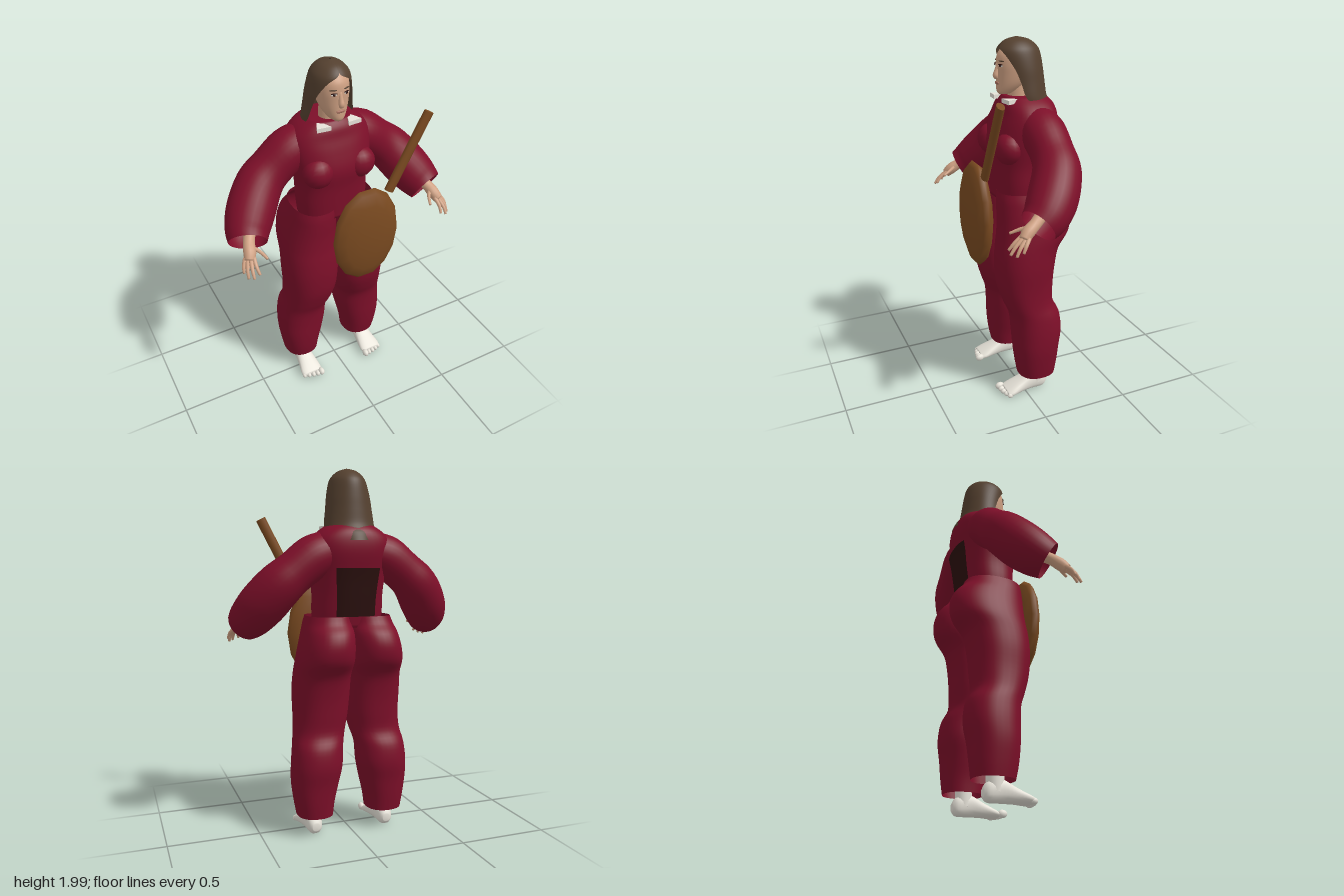
import * as THREE from 'three';
import { mergeVertices } from 'three/addons/utils/BufferGeometryUtils.js';

const V = (x, y, z) => new THREE.Vector3(x, y, z);

function material(name, color, side = THREE.DoubleSide) {
  const m = new THREE.MeshStandardMaterial({ color, side });
  m.name = name;
  return m;
}

// Catmull-Rom subdivision of rows of numbers
function smooth(rows, k = 4) {
  const out = [];
  const at = i => rows[Math.min(Math.max(i, 0), rows.length - 1)];
  for (let i = 0; i < rows.length - 1; i++) {
    for (let s = 0; s < k; s++) {
      const t = s / k;
      out.push(at(i).map((b, c) => {
        const a = at(i - 1)[c], d = at(i + 1)[c], e = at(i + 2)[c];
        return 0.5 * (2 * b + (d - a) * t + (2 * a - 5 * b + 4 * d - e) * t * t + (3 * b - a - 3 * d + e) * t * t * t);
      }));
    }
  }
  out.push(at(rows.length - 1));
  return out;
}

// Skin over rings { c, u, v, open }; rings advance along v x u, open is the half gap at v
function loft(rings, { n = 28, power = 2, capStart = false, capEnd = false, closed = true } = {}) {
  const pos = [], index = [];
  const cols = closed ? n : n + 1;
  const bulge = w => Math.sign(w) * Math.abs(w) ** (2 / power);
  for (const { c, u, v, open = 0 } of rings) {
    for (let j = 0; j < cols; j++) {
      const t = open + (2 * Math.PI - 2 * open) * j / n;
      const p = c.clone().addScaledVector(u, bulge(Math.sin(t))).addScaledVector(v, bulge(Math.cos(t)));
      pos.push(p.x, p.y, p.z);
    }
  }
  for (let i = 0; i < rings.length - 1; i++) {
    for (let j = 0; j < n; j++) {
      const a = i * cols + j, b = i * cols + (j + 1) % cols;
      index.push(a, b, b + cols, a, b + cols, a + cols);
    }
  }
  const cap = (i, flip) => {
    const o = pos.length / 3, { c } = rings[i];
    pos.push(c.x, c.y, c.z);
    for (let j = 0; j < n; j++) {
      const a = i * cols + j, b = i * cols + (j + 1) % cols;
      index.push(...(flip ? [o, b, a] : [o, a, b]));
    }
  };
  if (capStart) cap(0, true);
  if (capEnd) cap(rings.length - 1, false);
  const g = new THREE.BufferGeometry();
  g.setAttribute('position', new THREE.Float32BufferAttribute(pos, 3));
  g.setIndex(index);
  g.computeVertexNormals();
  return g;
}

// Horizontal rings from rows [y, centre x, half width, front z, back z, open]
const level = rows => rows.map(([y, x, rx, zf, zb, open = 0]) => (
  { c: V(x, y, (zf + zb) / 2), u: V(rx, 0, 0), v: V(0, 0, (zf - zb) / 2), open }));

// Round limb through rows [x, y, z, radius]
function limb(rows, opts = {}, k = 4) {
  const pts = smooth(rows, k);
  const at = i => V(...pts[Math.min(Math.max(i, 0), pts.length - 1)].slice(0, 3));
  return loft(pts.map((p, i) => {
    const T = at(i + 1).sub(at(i - 1)).normalize();
    const v = V(0, 0, 1).addScaledVector(T, -T.z).normalize();
    return { c: at(i), u: T.clone().cross(v).multiplyScalar(p[3]), v: v.multiplyScalar(p[3]) };
  }), opts);
}

function ball(x, y, z, rx, ry, rz, w = 16, h = 12) {
  return new THREE.SphereGeometry(1, w, h).scale(rx, ry, rz).translate(x, y, z);
}

function mirrored(geo) {
  const g = mergeVertices(geo.clone()).scale(-1, 1, 1);
  const a = g.index.array;
  for (let i = 0; i < a.length; i += 3) [a[i], a[i + 1]] = [a[i + 1], a[i]];
  return g;
}

export function createModel() {
  const model = new THREE.Group();
  model.name = 'robedFigure';
  const cloth = material('red cloth', 0x7d0f29);
  const skin = material('skin', 0xcfa183);
  const white = material('white', 0xe6e2d8);
  const hairMat = material('brown hair', 0x54402f);
  const wood = material('wood', 0x7a4a20);
  const dark = material('dark brown', 0x2b100e);
  const lip = material('lips', 0xa8705f);

  const add = (name, geo, mat) => {
    const m = new THREE.Mesh(geo, mat);
    m.name = name;
    model.add(m);
    return m;
  };
  const pair = (name, geo, mat) => {
    add(name + 'Left', geo, mat);
    add(name + 'Right', mirrored(geo), mat);
  };

  // Tunic body
  const torso = [
    [1.16, 0, 0.19, 0.095, -0.17], [1.25, 0, 0.195, 0.10, -0.185], [1.35, 0, 0.195, 0.105, -0.20],
    [1.45, 0, 0.21, 0.115, -0.215], [1.55, 0, 0.225, 0.09, -0.235], [1.62, 0, 0.215, 0.065, -0.235],
    [1.67, 0, 0.17, 0.05, -0.22], [1.705, 0, 0.115, 0.025, -0.185]];
  add('tunic', loft(level(smooth(torso)), { n: 40, power: 2.4, capStart: true, capEnd: true }), cloth);
  pair('bust', ball(0.12, 1.45, 0.055, 0.085, 0.085, 0.075), cloth);

  // Dark panel down the back
  const panel = smooth(torso.slice(1, 5)).filter(r => r[0] < 1.51)
    .map(([y, x, rx, zf, zb]) => [y - 0.03, x, rx, zf, zb - 0.014, 2.62]);
  add('backPanel', loft(level(panel), { n: 10, power: 2.4, closed: false }), dark);

  // Sleeves with open cuffs
  pair('sleeve', limb([
    [0.13, 1.56, -0.095, 0.11], [0.21, 1.53, -0.10, 0.118], [0.31, 1.455, -0.10, 0.113], [0.39, 1.385, -0.085, 0.123],
    [0.465, 1.29, -0.03, 0.128], [0.515, 1.22, 0.03, 0.118], [0.54, 1.18, 0.085, 0.1]], { capStart: true }), cloth);

  // Trouser legs with rounded seat
  pair('trouserLeg', loft(level(smooth([
    [0.12, 0.203, 0.1, 0.03, -0.185], [0.2, 0.205, 0.112, 0.045, -0.195], [0.3, 0.2, 0.13, 0.055, -0.205],
    [0.4, 0.19, 0.14, 0.06, -0.22], [0.5, 0.182, 0.138, 0.07, -0.21], [0.58, 0.165, 0.142, 0.10, -0.175],
    [0.68, 0.152, 0.15, 0.13, -0.178], [0.8, 0.148, 0.157, 0.14, -0.19], [0.9, 0.145, 0.155, 0.135, -0.215],
    [0.98, 0.14, 0.153, 0.125, -0.275], [1.06, 0.133, 0.145, 0.12, -0.29], [1.13, 0.125, 0.135, 0.12, -0.27],
    [1.18, 0.12, 0.125, 0.118, -0.225], [1.22, 0.114, 0.118, 0.112, -0.205]])), { n: 36, power: 2.3 }), cloth);

  // Feet: heel to toe rows [z, x, half width, bottom, top]
  const foot = smooth([
    [-0.135, 0.21, 0.02, 0.035, 0.075], [-0.11, 0.21, 0.04, 0.012, 0.11], [-0.04, 0.21, 0.046, 0.012, 0.125],
    [0.03, 0.21, 0.056, 0.014, 0.09], [0.09, 0.212, 0.065, 0.012, 0.06], [0.12, 0.212, 0.058, 0.015, 0.045]]);
  pair('foot', loft(foot.map(([z, x, rx, lo, hi]) => (
    { c: V(x, (lo + hi) / 2, z), u: V(0, (hi - lo) / 2, 0), v: V(rx, 0, 0) })),
  { n: 20, power: 2.4, capStart: true, capEnd: true }), white);
  pair('ankle', new THREE.CylinderGeometry(0.045, 0.045, 0.14, 18).translate(0.21, 0.13, -0.07), white);
  for (let i = 0; i < 5; i++) {
    const r = i === 0 ? 0.018 : 0.0145 - i * 0.0006;
    pair('toe' + (i + 1), ball(0.16 + i * 0.0265, 0.012 + r * 1.2, 0.132 - i * i * 0.0015, r, r * 1.2, r * 1.5, 10, 8), white);
  }

  // Hands
  pair('wrist', limb([[0.5, 1.24, 0.03, 0.034], [0.54, 1.195, 0.1, 0.03], [0.556, 1.165, 0.145, 0.033],
    [0.572, 1.135, 0.175, 0.026]], { n: 14, capStart: true, capEnd: true }), skin);
  const fingers = [
    [[0.548, 1.15, 0.17], [0.553, 1.12, 0.215], [0.548, 1.085, 0.245]],
    [[0.565, 1.145, 0.175], [0.577, 1.11, 0.22], [0.58, 1.072, 0.248]],
    [[0.578, 1.14, 0.168], [0.597, 1.105, 0.205], [0.602, 1.067, 0.225]],
    [[0.585, 1.145, 0.155], [0.607, 1.115, 0.18], [0.613, 1.085, 0.195]],
    [[0.54, 1.18, 0.13], [0.51, 1.165, 0.17], [0.49, 1.145, 0.215]]];
  fingers.forEach((f, i) => pair(i < 4 ? 'finger' + (i + 1) : 'thumb',
    limb(f.map((p, j) => [...p, 0.0125 - j * 0.0027]), { n: 8, capStart: true, capEnd: true }), skin));

  // Neck and head
  add('neck', new THREE.CylinderGeometry(0.052, 0.062, 0.14, 20).translate(0, 1.72, -0.05), skin);
  add('head', loft(level(smooth([
    [1.714, 0, 0.02, 0.058, 0.0], [1.73, 0, 0.042, 0.07, -0.04], [1.77, 0, 0.067, 0.07, -0.09], [1.82, 0, 0.081, 0.07, -0.12],
    [1.87, 0, 0.086, 0.07, -0.13], [1.92, 0, 0.08, 0.06, -0.13], [1.965, 0, 0.05, 0.02, -0.1]])),
  { n: 32, capStart: true, capEnd: true }), skin);
  add('nose', limb([[0, 1.87, 0.062, 0.009], [0, 1.835, 0.071, 0.012], [0, 1.81, 0.077, 0.015], [0, 1.797, 0.07, 0.01]],
    { n: 12, capStart: true, capEnd: true }), skin);

  // Face details
  const tilted = (x, y, z, rx, ry) => ball(0, 0, 0, rx, ry, 0.004, 14, 8).rotateY(x * 10).translate(x, y, z);
  pair('eyeWhite', tilted(0.034, 1.862, 0.063, 0.015, 0.006), white);
  pair('iris', tilted(0.034, 1.862, 0.066, 0.0065, 0.006), dark);
  pair('upperLid', tilted(0.034, 1.868, 0.064, 0.017, 0.003), dark);
  pair('eyebrow', tilted(0.037, 1.885, 0.06, 0.02, 0.0035), hairMat);
  add('mouth', ball(0, 1.772, 0.07, 0.025, 0.008, 0.006), lip);

  // Long hair, parted around the face
  add('hair', loft(level(smooth([
    [1.62, 0, 0.12, 0.02, -0.245, 2.3], [1.66, 0, 0.132, 0.035, -0.228, 1.8], [1.7, 0, 0.136, 0.045, -0.2, 1.3],
    [1.78, 0, 0.126, 0.05, -0.187, 1.12], [1.85, 0, 0.117, 0.06, -0.178, 0.95], [1.92, 0, 0.101, 0.07, -0.165, 0.6],
    [1.955, 0, 0.084, 0.056, -0.145, 0.05], [1.985, 0, 0.05, 0.02, -0.105, 0], [2.0, 0, 0.004, -0.035, -0.045, 0]])),
  { n: 36, closed: false }), hairMat);

  // Pointed collar tabs
  const tab = new THREE.Shape([[0.085, -0.03], [0.125, 0.058], [0.05, 0.065]].map(p => new THREE.Vector2(...p)));
  pair('collarTab', new THREE.ExtrudeGeometry(tab, { depth: 0.022, bevelEnabled: false })
    .rotateX(Math.PI / 2).translate(0, 1.7, 0), white);

  // Round-bodied instrument and its neck
  add('instrumentBody', ball(0, 0, 0, 0.195, 0.063, 0.292, 14, 8).rotateX(Math.PI / 2)
    .scale(1, 1, 1).translate(0.07, 1.1, 0.226), wood);
  add('instrumentNeck', new THREE.CylinderGeometry(1, 1, 0.455, 12).scale(0.028, 1, 0.02)
    .rotateZ(-0.48).translate(0.307, 1.54, 0.224), wood);

  return model;
}
